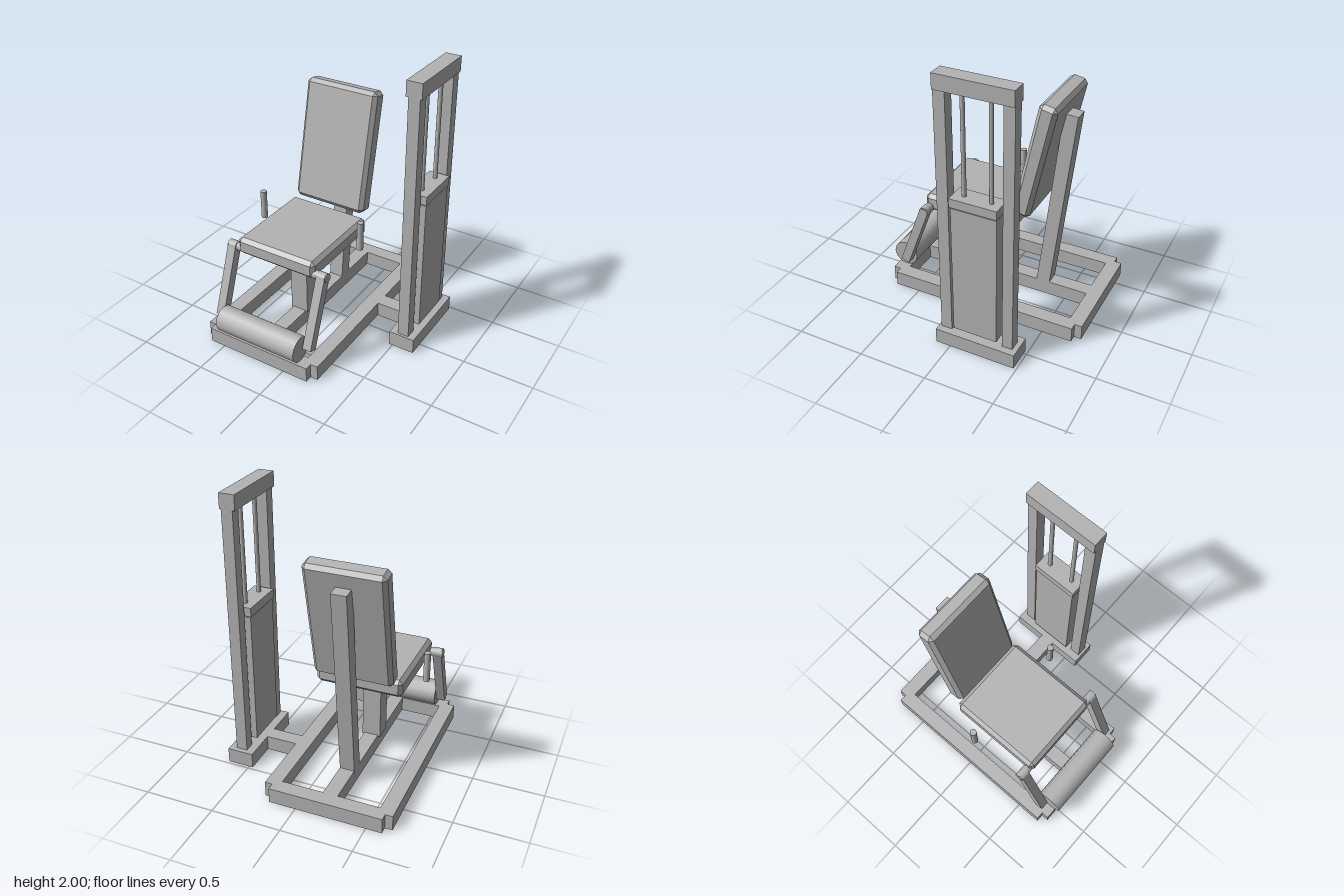
import * as THREE from 'three';
import { ConvexGeometry } from 'three/addons/geometries/ConvexGeometry.js';

export function createModel() {
  const model = new THREE.Group();
  model.name = 'legExtensionMachine';
  const grey = new THREE.MeshStandardMaterial({ color: 0xb3b3b3 });
  grey.name = 'machine grey';

  const add = (name, geometry, parent = model) => {
    const mesh = new THREE.Mesh(geometry, grey);
    mesh.name = name;
    parent.add(mesh);
    return mesh;
  };
  const group = (name) => {
    const g = new THREE.Group();
    g.name = name;
    model.add(g);
    return g;
  };
  // Box given by its limits on each axis
  const box = (name, x0, x1, y0, y1, z0, z1, parent) => {
    const mesh = add(name, new THREE.BoxGeometry(x1 - x0, y1 - y0, z1 - z0), parent);
    mesh.position.set((x0 + x1) / 2, (y0 + y1) / 2, (z0 + z1) / 2);
    return mesh;
  };
  // Bar of rectangular section between two points of the y-z plane
  const bar = (name, x, width, depth, y0, z0, y1, z1) => {
    const mesh = add(name, new THREE.BoxGeometry(width, Math.hypot(y1 - y0, z1 - z0), depth));
    mesh.position.set(x, (y0 + y1) / 2, (z0 + z1) / 2);
    mesh.rotation.x = Math.atan2(z1 - z0, y1 - y0);
    return mesh;
  };
  const rod = (name, r, length, x, y, z, sides = 16, parent) => {
    const mesh = add(name, new THREE.CylinderGeometry(r, r, length, sides), parent);
    mesh.position.set(x, y, z);
    return mesh;
  };
  // Cushion: a box with all its edges and corners chamfered
  const cushion = (name, w, h, d, c) => {
    const points = [];
    for (const sx of [-1, 1]) for (const sy of [-1, 1]) for (const sz of [-1, 1]) {
      for (const [a, b, e] of [[0, c, c], [c, 0, c], [c, c, 0]]) {
        points.push(new THREE.Vector3(sx * (w / 2 - a), sy * (h / 2 - b), sz * (d / 2 - e)));
      }
    }
    return add(name, new ConvexGeometry(points));
  };

  const mid = -0.21; // centre line of the seat

  // Floor frame
  const frame = group('floorFrame');
  box('rightRail', -0.665, -0.56, 0, 0.11, -0.72, 0.685, frame);
  box('leftRail', 0.14, 0.245, 0, 0.11, -0.72, 0.685, frame);
  box('centreRail', -0.262, -0.157, 0, 0.11, -0.67, 0.64, frame);
  box('backCrossbar', -0.612, 0.192, 0, 0.11, -0.773, -0.667, frame);
  box('frontCrossbar', -0.612, 0.192, 0, 0.11, 0.635, 0.738, frame);
  box('towerLink', 0.24, 0.48, 0, 0.11, -0.24, -0.132, frame);
  box('towerBase', 0.472, 0.66, 0, 0.11, -0.48, 0.108, frame);

  // Weight tower
  const tower = group('weightTower');
  box('frontColumn', 0.53, 0.61, 0.11, 1.9, 0.01, 0.09, tower);
  box('backColumn', 0.53, 0.61, 0.11, 1.9, -0.445, -0.37, tower);
  box('topBeam', 0.512, 0.622, 1.895, 2, -0.445, 0.09, tower);
  box('weightStack', 0.502, 0.636, 0.153, 1.117, -0.34, -0.02, tower);
  box('topPlate', 0.496, 0.642, 1.126, 1.19, -0.345, -0.012, tower);
  for (const z of [-0.085, -0.275]) rod('guideRod', 0.015, 1.79, 0.57, 1.005, z, 16, tower);

  // Seat and backrest
  box('seatPost', mid - 0.067, mid + 0.067, 0.1, 0.62, 0.085, 0.22);
  cushion('seat', 0.62, 0.13, 0.69, 0.027).position.set(mid, 0.705, 0.153);
  bar('backPost', mid, 0.106, 0.1, 0.06, -0.322, 1.503, -0.481);
  const back = cushion('backrest', 0.56, 0.88, 0.13, 0.027);
  back.position.set(mid, 1.21, -0.32);
  back.rotation.x = THREE.MathUtils.degToRad(-12);

  // Swinging leg arms, axle, roller and handles
  rod('axle', 0.031, 0.805, mid, 0.674, 0.46).rotation.z = Math.PI / 2;
  rod('legRoller', 0.095, 0.642, mid, 0.2, 0.68, 12).rotation.z = Math.PI / 2;
  for (const side of [-1, 1]) {
    const x = mid + side * 0.363;
    bar('legArm', x, 0.065, 0.066, 0.193, 0.643, 0.674, 0.464);
    rod('legArmPivot', 0.035, 0.065, x, 0.674, 0.464).rotation.z = Math.PI / 2;
    rod('handle', 0.023, 0.213, mid + side * 0.403, 0.783, 0.055);
  }

  return model;
}
